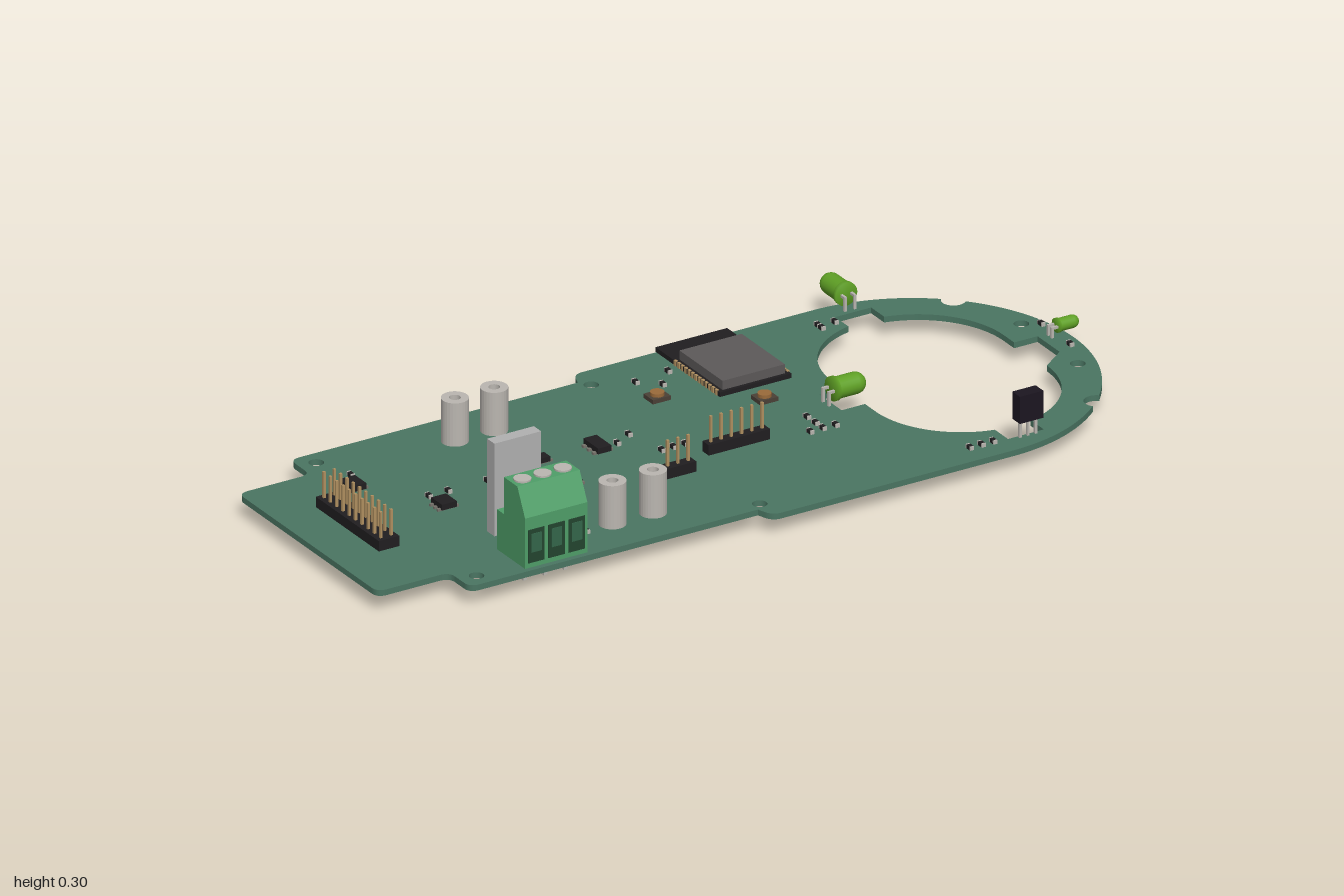
import * as THREE from 'three';

const TOP = 0.053; // upper face of the board
const mats = {};
const mat = (c) => (mats[c] ??= new THREE.MeshStandardMaterial({ color: c }));
const GREEN = 0x4a7562, BLACK = 0x201e20, GREY = 0xbab6b0, GOLD = 0xb09060, LIME = 0x5fa025;

function add(parent, name, geo, color, x = 0, y = 0, z = 0) {
  const m = new THREE.Mesh(geo, mat(color));
  m.name = name;
  m.position.set(x, y, z);
  parent.add(m);
  return m;
}

// Box given by its centre in x/z and its lower and upper y
const block = (parent, name, x, z, w, d, y0, y1, color) =>
  add(parent, name, new THREE.BoxGeometry(w, y1 - y0, d), color, x, (y0 + y1) / 2, z);

function group(parent, name) {
  const g = new THREE.Group();
  g.name = name;
  parent.add(g);
  return g;
}

// Board outline: rounded left end, wide middle and a round right end with two edge notches
function board(root) {
  const s = new THREE.Shape();
  const cx = 0.553, cz = 0.03, R = 0.415, n = 0.028, h = Math.asin(n / R);
  const corners = [[-0.1, 0.405], [-0.815, 0.405], [-0.815, 0.32], [-1, 0.32],
    [-1, -0.26], [-0.815, -0.26], [-0.815, -0.345], [-0.1, -0.345]];
  s.moveTo(cx, cz - R);
  let from = -Math.PI / 2;
  for (const a of [-0.8, 0.8]) {
    s.absarc(cx, cz, R, from, a - h, false);
    s.absarc(cx + R * Math.cos(a), cz + R * Math.sin(a), n, a - Math.PI / 2, a - Math.PI * 1.5, true);
    from = a + h;
  }
  s.absarc(cx, cz, R, from, Math.PI / 2, false);
  s.lineTo(-0.04, 0.445);
  s.quadraticCurveTo(-0.06, 0.445, -0.068, 0.425);
  corners.forEach(([x, z], i) => {
    const [px, pz] = corners[i - 1] ?? [-0.04, 0.405];
    const [qx, qz] = corners[i + 1] ?? [-0.04, -0.345];
    const toward = (ax, az) => {
      const l = Math.hypot(ax - x, az - z);
      return [x + (ax - x) / l * 0.025, z + (az - z) / l * 0.025];
    };
    s.lineTo(...toward(px, pz));
    s.quadraticCurveTo(x, z, ...toward(qx, qz));
  });
  s.lineTo(-0.068, -0.365);
  s.quadraticCurveTo(-0.06, -0.385, -0.04, -0.385);
  s.closePath();

  // Oval opening with a square notch on each side
  const o = new THREE.Path(), ox = 0.623, r = 0.22, e = 0.09, w = 0.046, k = Math.asin(w / r);
  const P = Math.PI;
  o.moveTo(ox + r, cz + w);
  o.absarc(ox, cz + e, r, 0, P / 2 - k, false);
  o.lineTo(ox + w, cz + 0.36); o.lineTo(ox - w, cz + 0.36);
  o.absarc(ox, cz + e, r, P / 2 + k, P, false);
  o.lineTo(ox - r, cz + w); o.lineTo(ox - 0.28, cz + w);
  o.lineTo(ox - 0.28, cz - w); o.lineTo(ox - r, cz - w);
  o.absarc(ox, cz - e, r, P, P * 1.5 - k, false);
  o.lineTo(ox - w, cz - 0.36); o.lineTo(ox + w, cz - 0.36);
  o.absarc(ox, cz - e, r, P * 1.5 + k, P * 2, false);
  o.lineTo(ox + r, cz - w); o.lineTo(ox + 0.28, cz - w);
  o.lineTo(ox + 0.28, cz + w);
  o.closePath();
  s.holes.push(o);

  // Screw holes
  for (const [x, z] of [[-0.773, -0.303], [-0.773, 0.365], [-0.056, -0.32], [-0.056, 0.382], [0.906, -0.088], [0.906, 0.147]])
    s.holes.push(new THREE.Path().absarc(x, z, 0.017, 0, P * 2, false));
  const geo = new THREE.ExtrudeGeometry(s, { depth: 0.014, bevelEnabled: false, curveSegments: 24 });
  geo.rotateX(P / 2);
  add(root, 'circuitBoard', geo, GREEN, 0, TOP, 0);
}

// Pin header: a plastic collar per pin, pins through the board
function header(root, x0, z0, nx, nz) {
  const g = group(root, 'pinHeader'), p = 0.0263;
  for (let i = 0; i < nx; i++) for (let j = 0; j < nz; j++) {
    const x = x0 + i * p, z = z0 + j * p;
    block(g, 'collar', x, z, 0.0263, 0.0263, TOP + 0.002, 0.08, BLACK);
    block(g, 'pin', x, z, 0.006, 0.006, 0.023, 0.143, GOLD);
  }
}

// Hollow standoff
function standoff(root, x, z) {
  const pts = [[0.013, 0], [0.031, 0], [0.031, 0.105], [0.013, 0.105], [0.013, 0]].map((p) => new THREE.Vector2(...p));
  const flat = new THREE.LatheGeometry(pts, 28).toNonIndexed();
  flat.computeVertexNormals();
  add(root, 'standoff', flat, GREY, x, TOP, z);
}

// LED lying on its side, pointing along local +x from its flange, legs bent down behind it
function led(root, x, y, z, r, len, turn) {
  const g = group(root, 'led');
  const pts = [[0, 0], [r * 1.12, 0], [r * 1.12, len * 0.12], [r, len * 0.12]];
  for (let i = 0; i <= 8; i++) {
    const a = i / 8 * Math.PI / 2;
    pts.push([r * Math.cos(a), len - r + r * Math.sin(a)]);
  }
  const geo = new THREE.LatheGeometry(pts.map((p) => new THREE.Vector2(Math.max(p[0], 0), p[1])), 24);
  geo.rotateZ(-Math.PI / 2);
  add(g, 'lens', geo, LIME);
  for (const s of [-1, 1]) {
    block(g, 'leg', -0.007, s * r * 0.5, 0.014, 0.006, -0.003, 0.003, GREY);
    block(g, 'leg', -0.014, s * r * 0.5, 0.006, 0.006, 0.034 - y, 0.003, GREY);
  }
  g.position.set(x, y, z);
  g.rotation.y = turn;
}

// Screw terminal with three wire openings
function terminal(root) {
  const g = group(root, 'screwTerminal'), c = 0x4f9e68, cx = -0.585, w = 0.16;
  const s = new THREE.Shape([[0.275, TOP], [0.392, TOP], [0.392, 0.175], [0.36, 0.24], [0.304, 0.24], [0.304, 0.15], [0.275, 0.15]]
    .map((p) => new THREE.Vector2(-p[0], p[1])));
  const geo = new THREE.ExtrudeGeometry(s, { depth: w, bevelEnabled: false });
  geo.rotateY(Math.PI / 2);
  add(g, 'housing', geo, c, cx - w / 2, 0, 0);
  for (const i of [-1, 0, 1]) {
    const x = cx + i * 0.052;
    block(g, 'wireOpening', x, 0.392, 0.042, 0.004, 0.065, 0.145, 0x23442f);
    block(g, 'clamp', x, 0.394, 0.026, 0.003, 0.09, 0.135, 0x33664a);
    add(g, 'screw', new THREE.CylinderGeometry(0.02, 0.02, 0.006, 20), GREY, x, 0.241, 0.335);
    block(g, 'leg', x, 0.343, 0.009, 0.009, 0, TOP, GREY);
  }
}

// Infrared receiver on three legs, dome facing the opening
function receiver(root) {
  const g = group(root, 'receiver'), x = 0.624;
  block(g, 'body', x, 0.396, 0.06, 0.032, 0.094, 0.16, 0x1c1620);
  const dome = add(g, 'dome', new THREE.SphereGeometry(0.027, 20, 14), 0x1c1620, x, 0.127, 0.382);
  dome.scale.set(1, 1.1, 0.95);
  for (const i of [-1, 0, 1]) block(g, 'leg', x + i * 0.02, 0.396, 0.006, 0.006, 0.023, 0.1, GREY);
}

// Radio module: carrier, metal can, antenna strip and edge contacts
function radioModule(root) {
  const g = group(root, 'radioModule'), x = 0.243;
  block(g, 'carrier', x, -0.254, 0.184, 0.268, TOP, 0.064, BLACK);
  block(g, 'shieldCan', x, -0.218, 0.16, 0.18, 0.064, 0.086, 0x5c5959);
  for (let i = 0; i < 13; i++) for (const s of [-1, 1])
    block(g, 'contact', x + s * 0.091, -0.305 + i * 0.0142, 0.006, 0.008, TOP, 0.066, GOLD);
}

export function createModel() {
  const root = new THREE.Group();
  root.name = 'circuitBoardAssembly';
  board(root);
  header(root, -0.88, -0.097, 2, 10);
  header(root, -0.157, 0.162, 3, 1);
  header(root, -0.013, 0.108, 6, 1);
  for (const [x, z] of [[-0.457, -0.238], [-0.356, -0.238], [-0.382, 0.297], [-0.278, 0.297]]) standoff(root, x, z);
  terminal(root);
  block(root, 'uprightPlate', -0.6, 0.241, 0.12, 0.03, 0.075, 0.3, 0xb0b0b0);
  radioModule(root);
  receiver(root);
  led(root, 0.345, 0.085, 0.03, 0.025, 0.085, 0);
  led(root, 0.623, 0.085, -0.358, 0.025, 0.089, Math.PI / 2);
  led(root, 0.94, 0.076, 0, 0.015, 0.057, 0);

  // Push buttons
  for (const [x, z] of [[0.03, -0.185], [0.227, -0.057]]) {
    block(root, 'buttonBase', x, z, 0.046, 0.04, TOP, 0.063, 0x4a4036);
    add(root, 'buttonCap', new THREE.CylinderGeometry(0.016, 0.016, 0.008, 16), 0x9a6a3a, x, 0.067, z);
  }
  // Chips: x, z, width, depth, top, with leads along two sides
  for (const [x, z, w, d, y] of [[-0.773, -0.152, 0.042, 0.048, 0.07], [-0.65, 0.03, 0.038, 0.045, 0.07],
    [-0.213, -0.04, 0.034, 0.062, 0.07], [-0.356, -0.048, 0.038, 0.026, 0.068], [-0.356, 0.088, 0.038, 0.022, 0.068]]) {
    block(root, 'chip', x, z, w, d, TOP + 0.003, y, BLACK);
    for (const i of [-1, 0, 1]) block(root, 'chipLeads', x, z + i * d * 0.33, w + 0.016, d * 0.14, TOP, TOP + 0.006, 0x77736c);
  }
  // Small passive parts
  const small = [[-0.745, -0.205], [-0.655, -0.025], [-0.605, -0.025], [-0.505, -0.025], [-0.44, -0.05], [-0.445, 0.27],
    [-0.455, 0.305], [0.03, -0.275], [0.075, -0.235], [0.12, -0.285], [-0.12, -0.06], [-0.165, -0.035], [-0.1, 0.045],
    [-0.07, 0.045], [-0.04, 0.045], [0.258, 0.07], [0.258, 0.105], [0.258, 0.135], [0.225, 0.137], [0.29, 0.137],
    [0.52, -0.31], [0.52, -0.295], [0.56, -0.305], [0.48, 0.388], [0.51, 0.388], [0.54, 0.388], [0.94, -0.06], [0.94, 0.06]];
  for (const [x, z] of small) {
    block(root, 'passivePart', x, z, 0.01, 0.014, TOP, 0.062, BLACK);
    for (const s of [-1, 1]) block(root, 'partEnd', x, z + s * 0.008, 0.01, 0.004, TOP, 0.062, GREY);
  }
  return root;
}
